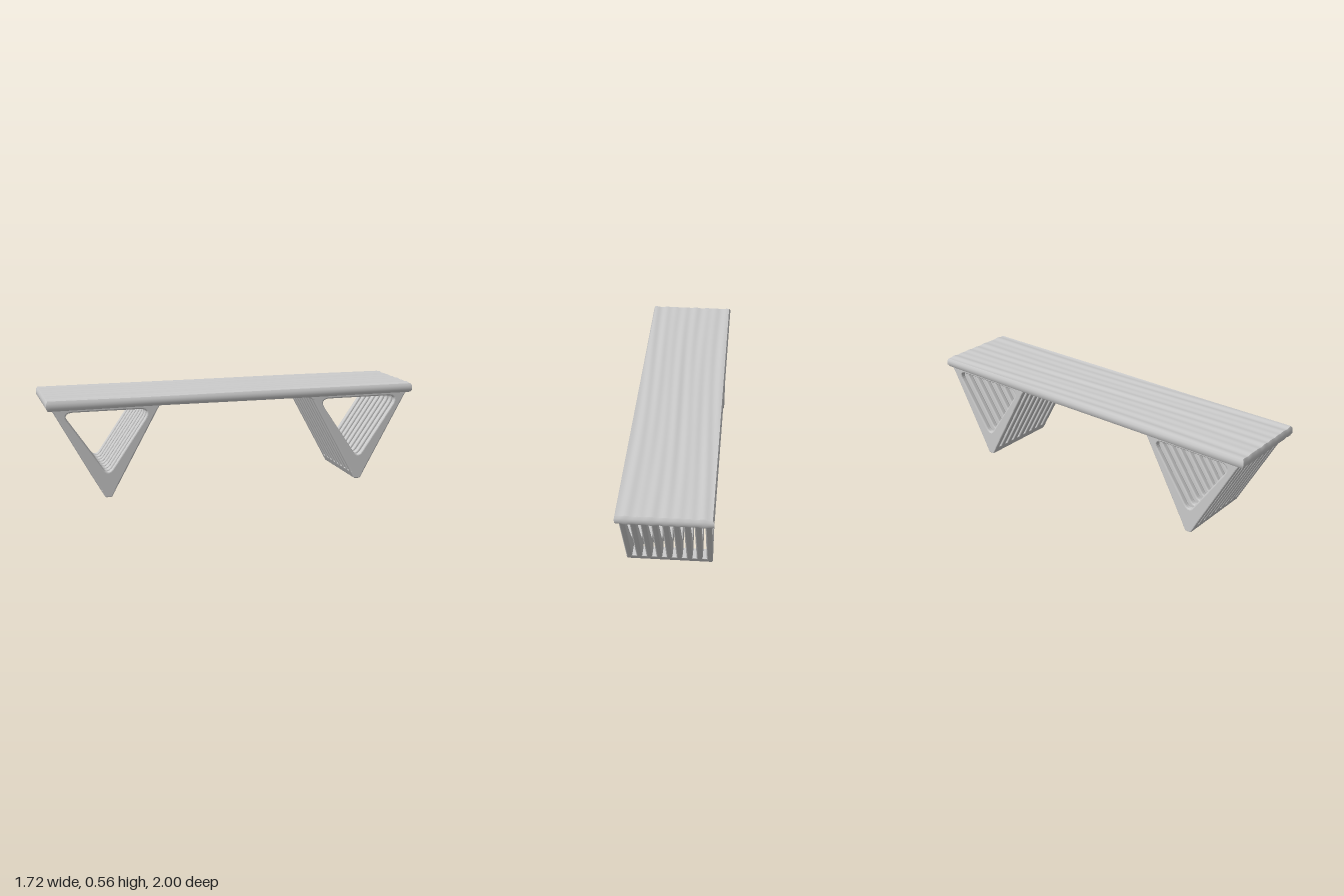
import * as THREE from 'three';

const LENGTH = 2.15, WIDTH = 0.5, SEAT_Y = 0.505, SEAT_H = 0.055;
const LEG_X = 0.745, LEG_WIDTH = 0.472, SLATS = 9, SLAT_W = 0.033;

// Closed outline with every corner rounded by its own radius: [x, y, r]
function roundedOutline(target, corners) {
  const n = corners.length;
  corners.forEach(([x, y, r], i) => {
    const p = new THREE.Vector2(x, y);
    const toward = ([cx, cy]) => new THREE.Vector2(cx, cy).sub(p).setLength(r).add(p);
    const a = toward(corners[(i + n - 1) % n]);
    const b = toward(corners[(i + 1) % n]);
    if (i === 0) target.moveTo(a.x, a.y);
    else target.lineTo(a.x, a.y);
    target.quadraticCurveTo(x, y, b.x, b.y);
  });
  target.closePath();
  return target;
}

// Extrusion with softened edges, centred on z
function softExtrude(shape, width, bevel) {
  const geometry = new THREE.ExtrudeGeometry(shape, {
    depth: width - 2 * bevel, bevelThickness: bevel, bevelSize: bevel,
    bevelOffset: -bevel, bevelSegments: 3, curveSegments: 8,
  });
  return geometry.translate(0, 0, -width / 2 + bevel);
}

// Plank with lengthwise wood grain pressed into its faces
function seatGeometry() {
  const geometry = new THREE.BoxGeometry(LENGTH, SEAT_H, WIDTH, 90, 4, 50);
  const pos = geometry.attributes.position;
  for (let i = 0; i < pos.count; i++) {
    const x = pos.getX(i), y = pos.getY(i), z = pos.getZ(i);
    const side = y / (SEAT_H / 2);
    const inset = 0.008 * side ** 4;
    const drift = z + 0.012 * Math.sin(2.3 * x + 5 * z);
    const grain = 0.5 * Math.sin(58 * drift) * Math.cos(1.9 * x + 9 * z)
      + 0.5 * Math.sin(97 * drift + 1.3 * x);
    pos.setXYZ(i,
      x * (1 - 2 * inset / LENGTH),
      y + side * 0.003 * (grain - 0.3),
      z * (1 - 2 * inset / WIDTH));
  }
  geometry.computeVertexNormals();
  return geometry;
}

export function createModel() {
  const model = new THREE.Group();
  model.name = 'bench';
  const material = new THREE.MeshStandardMaterial({ color: 0xcccccc });
  const add = (parent, geometry, name, x = 0, y = 0, z = 0) => {
    const mesh = new THREE.Mesh(geometry, material);
    mesh.name = name;
    mesh.position.set(x, y, z);
    parent.add(mesh);
  };

  add(model, seatGeometry(), 'seat', 0, SEAT_Y + SEAT_H / 2, 0);

  // One slat: an inverted triangular loop with a rounded opening
  const loop = roundedOutline(new THREE.Shape(), [
    [-0.018, 0, 0.008], [0.018, 0, 0.008], [0.302, 0.515, 0.012], [-0.302, 0.515, 0.012],
  ]);
  loop.holes.push(roundedOutline(new THREE.Path(), [
    [0, 0.125, 0.05], [-0.25, 0.49, 0.07], [0.25, 0.49, 0.07],
  ]));
  const slat = softExtrude(loop, SLAT_W, 0.008);

  // Cross rails that tie the slats together at the foot and under the seat
  const foot = softExtrude(roundedOutline(new THREE.Shape(), [
    [-0.018, 0, 0.008], [0.018, 0, 0.008], [0.043, 0.045, 0.01], [-0.043, 0.045, 0.01],
  ]), LEG_WIDTH, 0.006);
  const topRail = softExtrude(roundedOutline(new THREE.Shape(), [
    [0.245, 0.485, 0.008], [0.285, 0.485, 0.008], [0.302, 0.515, 0.008], [0.245, 0.515, 0.008],
  ]), LEG_WIDTH, 0.005);

  const pitch = (LEG_WIDTH - SLAT_W) / (SLATS - 1);
  for (const side of [-1, 1]) {
    const leg = new THREE.Group();
    leg.name = side > 0 ? 'leftLeg' : 'rightLeg';
    leg.position.x = side * LEG_X;
    for (let i = 0; i < SLATS; i++) {
      add(leg, slat, 'legSlat', 0, 0, (i - (SLATS - 1) / 2) * pitch);
    }
    add(leg, foot, 'footRail');
    add(leg, topRail, 'topRail');
    add(leg, topRail, 'topRail');
    leg.children[leg.children.length - 1].rotation.y = Math.PI;
    model.add(leg);
  }

  // The bench stands diagonally
  model.rotation.y = 0.904;
  const root = new THREE.Group();
  root.name = 'benchRoot';
  root.add(model);
  return root;
}
